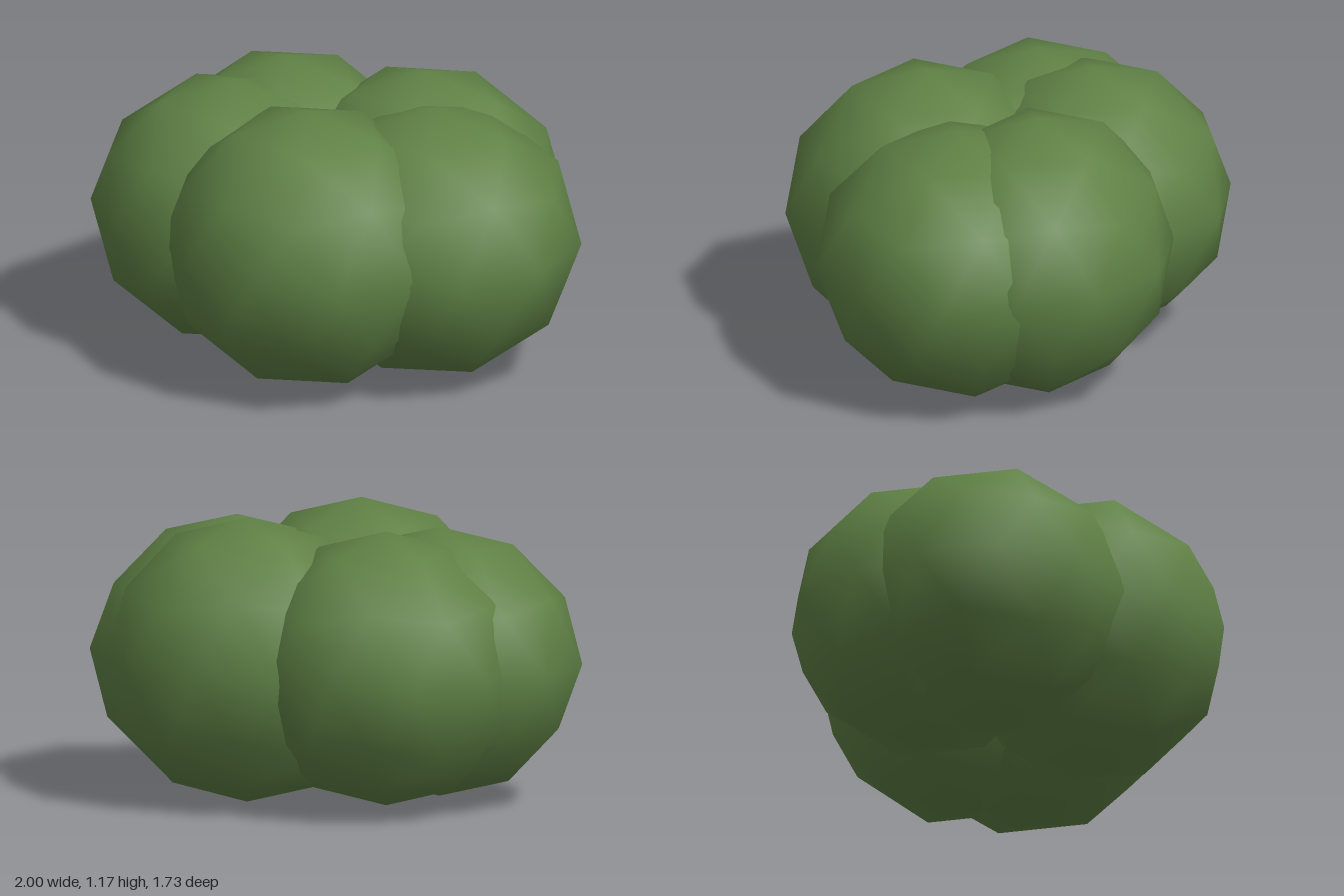
import * as THREE from 'three';

export function createModel() {
  const group = new THREE.Group();
  group.name = 'bush';

  const leafGreen = new THREE.MeshStandardMaterial({ color: 0x5f8145 });
  leafGreen.name = 'leafGreen';

  // Smooth-shaded icosphere turned so that a corner points straight up
  const clump = new THREE.IcosahedronGeometry(1, 1);
  clump.rotateZ(-Math.atan(2 / (1 + Math.sqrt(5))));

  // Five overlapping foliage clumps in a ring: name, centre, radii
  const clumps = [
    ['frontClump', [0.03, 0.593, 0.29], [0.6, 0.583, 0.572]],
    ['leftClump', [0.427, 0.57, -0.055], [0.6, 0.562, 0.597]],
    ['rightClump', [-0.445, 0.58, 0.003], [0.584, 0.552, 0.568]],
    ['backLeftClump', [0.26, 0.588, -0.325], [0.6, 0.583, 0.54]],
    ['backRightClump', [-0.338, 0.588, -0.282], [0.567, 0.562, 0.567]],
  ];
  for (const [name, centre, radii] of clumps) {
    const mesh = new THREE.Mesh(clump, leafGreen);
    mesh.name = name;
    mesh.position.set(...centre);
    mesh.scale.set(...radii);
    group.add(mesh);
  }
  return group;
}
